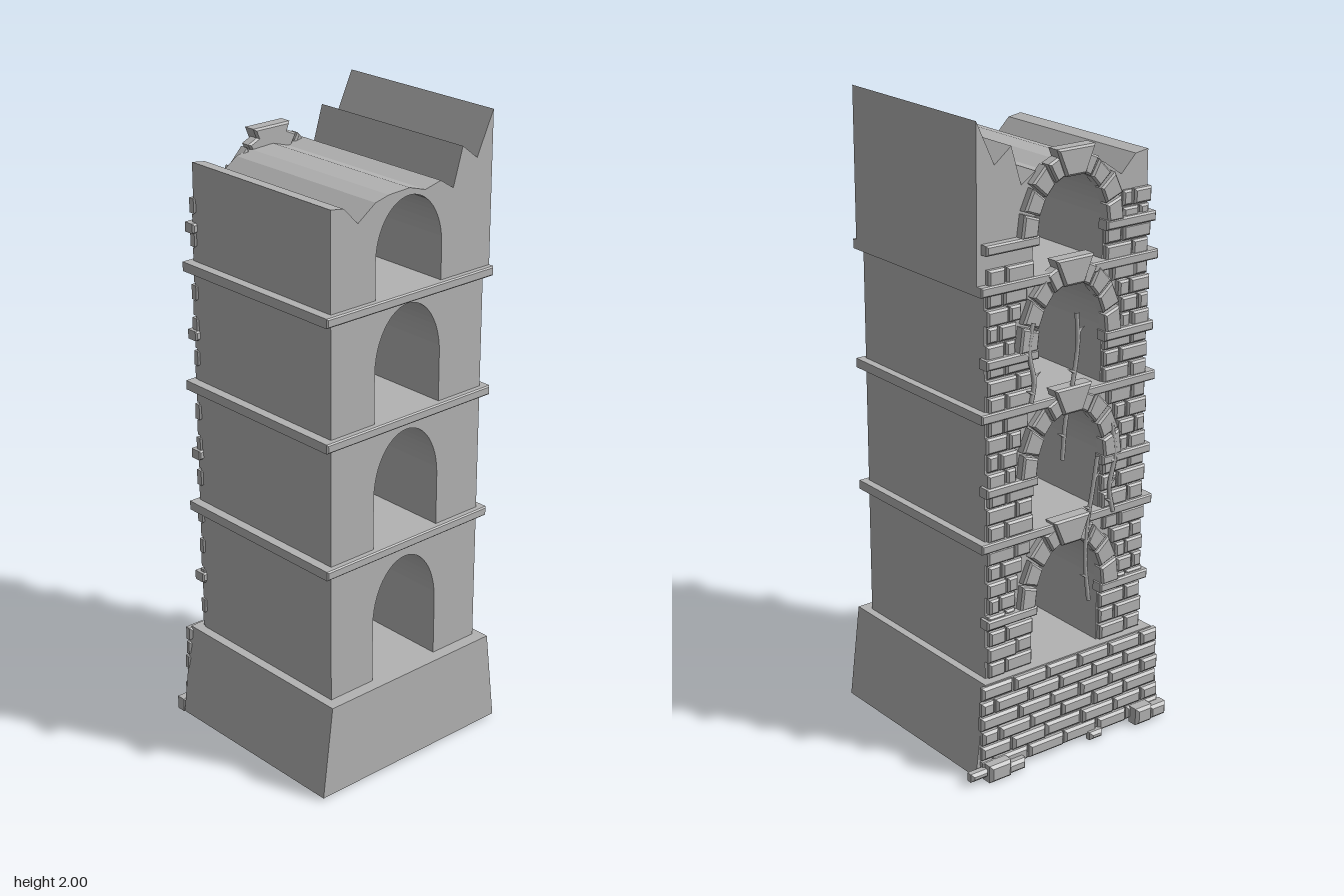
import * as THREE from 'three';

const CX = -0.02;      // tower axis
const HALF = 0.128;    // half width of the arched openings
const stone = new THREE.MeshStandardMaterial({ color: 0xb2b2b2 });
stone.name = 'grey stone';

let seed = 7;
const rnd = () => (seed = (seed * 16807) % 2147483647) / 2147483647;

// Prism with an xy outline running from z0 to z1, optionally with chamfered edges
function prism(name, pts, z0, z1, bevel = 0) {
  const shape = new THREE.Shape(pts.map(p => new THREE.Vector2(p[0], p[1])));
  const geo = new THREE.ExtrudeGeometry(shape, {
    depth: z1 - z0 - 2 * bevel, bevelEnabled: bevel > 0,
    bevelSize: bevel, bevelThickness: bevel, bevelOffset: -bevel, bevelSegments: 1,
  });
  geo.translate(0, 0, z0 + bevel);
  const mesh = new THREE.Mesh(geo, stone);
  mesh.name = name;
  return mesh;
}

const rect = (x0, x1, y0, y1) => [[x0, y0], [x1, y0], [x1, y1], [x0, y1]];
const block = (name, x0, x1, y0, y1, z0, z1, bevel = 0.006) =>
  prism(name, rect(x0, x1, y0, y1), z0, z1, bevel);

// Point on the arch curve, grown outwards by d
const archPoint = (spring, rise, t, d = 0) =>
  [CX + (HALF + d) * Math.cos(t), spring + (rise + d) * Math.sin(t)];

// One storey: two piers joined by an arch that runs through the tower
function storeyBody(s) {
  const pts = [[s.left, s.y0], ...s.top, [s.right, s.y0], [CX + HALF, s.y0]];
  for (let i = 0; i <= 24; i++) pts.push(archPoint(s.spring, s.rise, Math.PI * i / 24));
  pts.push([CX - HALF, s.y0]);
  return prism('storeyWall', pts, -0.278, 0.32);
}

// Wedge stones and keystone around the rear of an opening
function archStones(s) {
  const g = new THREE.Group();
  g.name = 'archStones';
  const n = 9;
  for (let i = 0; i < n; i++) {
    if (i === 4) continue;
    const a = Math.PI * (i + 0.05) / n, b = Math.PI * (i + 0.95) / n;
    const d = 0.056 + 0.012 * rnd();
    g.add(prism('archStone', [
      archPoint(s.spring, s.rise, a), archPoint(s.spring, s.rise, a, d),
      archPoint(s.spring, s.rise, b, d), archPoint(s.spring, s.rise, b),
    ], -0.302 - 0.006 * rnd(), -0.265, 0.006));
  }
  const apex = s.spring + s.rise;
  g.add(prism('keystone', [
    [CX - 0.036, apex - 0.008], [CX + 0.036, apex - 0.008],
    [CX + 0.07, apex + 0.075], [CX - 0.07, apex + 0.075],
  ], -0.316, -0.265, 0.007));
  return g;
}

// Brick courses on the rear of one pier; side is -1 or +1
function pierBricks(s, side, yTop) {
  const g = new THREE.Group();
  g.name = 'pierBricks';
  const rows = Math.round((yTop - s.y0) / 0.052), h = (yTop - s.y0) / rows;
  const add = (a, b, y) => {
    if (b - a < 0.025) return;
    const x0 = CX + side * a, x1 = CX + side * b;
    g.add(block('pierBrick', Math.min(x0, x1), Math.max(x0, x1), y + 0.003, y + h - 0.003,
      -0.291 - 0.008 * rnd(), -0.265));
  };
  for (let r = 0; r < rows; r++) {
    const y = s.y0 + r * h;
    // courses stop where the arch ring starts
    let inner = HALF + 0.004;
    if (y + h > s.spring) {
      const k = Math.min(1, Math.max(0, y - s.spring) / (s.rise + 0.065));
      inner = (HALF + 0.068) * Math.sqrt(1 - k * k);
    }
    inner = Math.max(inner, 0.075);
    const outer = 0.294 + (r % 2 ? 0.006 : 0);
    const cut = inner + (outer - inner) * (r % 2 ? 0.36 : 0.62);
    add(inner, cut - 0.003, y);
    add(cut + 0.003, outer, y);
  }
  return g;
}

// Twisted root with short side shoots
function vine(points) {
  const g = new THREE.Group();
  g.name = 'vine';
  const curve = new THREE.CatmullRomCurve3(points.map(p => new THREE.Vector3(p[0], p[1], p[2] ?? -0.303)));
  const stem = new THREE.Mesh(new THREE.TubeGeometry(curve, 20, 0.007, 6), stone);
  stem.name = 'vineStem';
  g.add(stem);
  for (let i = 0; i < 4; i++) {
    const p = curve.getPoint(0.15 + i * 0.23), side = i % 2 ? 1 : -1;
    const shoot = new THREE.Mesh(new THREE.ConeGeometry(0.007, 0.03, 5), stone);
    shoot.name = 'vineShoot';
    shoot.position.set(p.x + side * 0.014, p.y + 0.006, p.z);
    shoot.rotation.z = -side * 1.1;
    g.add(shoot);
  }
  return g;
}

// Tapered plinth with a brick rear face and loose rubble at its foot
function plinth() {
  const g = new THREE.Group();
  g.name = 'plinth';
  g.add(prism('plinthBody', [[-0.382, 0.012], [0.342, 0.012], [0.305, 0.31], [-0.345, 0.31]], -0.312, 0.36));
  const rows = 6, h = 0.295 / rows;
  for (let r = 0; r < rows; r++) {
    const y = 0.014 + r * h;
    const xl = -0.374 + r * 0.002 + 0.008 * rnd(), xr = 0.336 - r * 0.001 - 0.008 * rnd();
    let x = xl, w = r % 2 ? 0.07 : 0.135;
    while (x < xr - 0.03) {
      const end = x + w > xr - 0.04 ? xr : x + w;
      g.add(block('plinthBrick', x + 0.003, end - 0.003, y + 0.003, y + h - 0.003,
        -0.324 - 0.008 * rnd(), -0.3, 0.008));
      x = end;
      w = 0.11 + 0.04 * rnd();
    }
  }
  const rubble = [
    [-0.38, -0.315, 0.006, 0.05, -0.357], [-0.32, -0.255, 0.004, 0.06, -0.36],
    [-0.13, -0.08, 0.004, 0.03, -0.345], [0.18, 0.25, 0.004, 0.04, -0.354],
    [0.24, 0.32, 0.002, 0.058, -0.36], [0.315, 0.379, 0.018, 0.045, -0.345],
  ];
  for (const [x0, x1, y0, y1, z] of rubble) g.add(block('rubble', x0, x1, y0, y1, z, -0.31, 0.009));
  return g;
}

export function createModel() {
  const model = new THREE.Group();
  model.name = 'ruinedTower';
  model.add(plinth());

  const plain = (y0, y1, spring, apex) => ({
    y0, spring, rise: apex - spring, left: -0.315, right: 0.28,
    top: [[-0.315, y1], [0.28, y1]], brickTops: [y1, y1],
  });
  const storeys = [
    plain(0.31, 0.73, 0.5, 0.69),
    plain(0.75, 1.135, 0.92, 1.105),
    plain(1.15, 1.515, 1.31, 1.495),
    // broken top storey
    {
      y0: 1.525, spring: 1.645, rise: 0.17, left: -0.315, right: 0.305,
      top: [[-0.315, 1.835], [-0.268, 1.828], [-0.215, 1.775], [-0.15, 1.82], [-0.1, 1.832], [-0.02, 1.836],
        [0.04, 1.818], [0.1, 1.832], [0.15, 1.8], [0.185, 1.915], [0.243, 1.87], [0.305, 2]],
      brickTops: [1.73, 1.58],
    },
  ];

  for (const s of storeys) {
    const g = new THREE.Group();
    g.name = 'storey';
    g.add(storeyBody(s), archStones(s));
    [-1, 1].forEach((side, i) => {
      g.add(pierBricks(s, side, s.brickTops[i]));
      // impost block at the foot of the arch
      const a = CX + side * 0.122, b = CX + side * 0.31, y = s.spring - 0.008;
      g.add(block('impost', Math.min(a, b), Math.max(a, b), y - 0.014, y + 0.016, -0.306, -0.262, 0.005));
    });
    model.add(g);
  }

  // Floor slabs projecting between the storeys
  for (const y of [0.726, 1.128, 1.505]) {
    model.add(block('floorSlab', -0.345, 0.305, y, y + 0.029, -0.302, 0.34, 0.004));
  }

  model.add(
    vine([[-0.035, 1.4], [-0.04, 1.3], [-0.015, 1.15], [0.003, 1.07], [0.013, 0.955]]),
    vine([[-0.122, 0.935], [-0.105, 0.83], [-0.085, 0.72], [-0.08, 0.6], [-0.095, 0.47]]),
    vine([[0.125, 1.4], [0.14, 1.32], [0.12, 1.22], [0.13, 1.16]]),
    vine([[-0.175, 1.03], [-0.19, 0.92], [-0.17, 0.82], [-0.185, 0.74]]),
  );
  return model;
}
